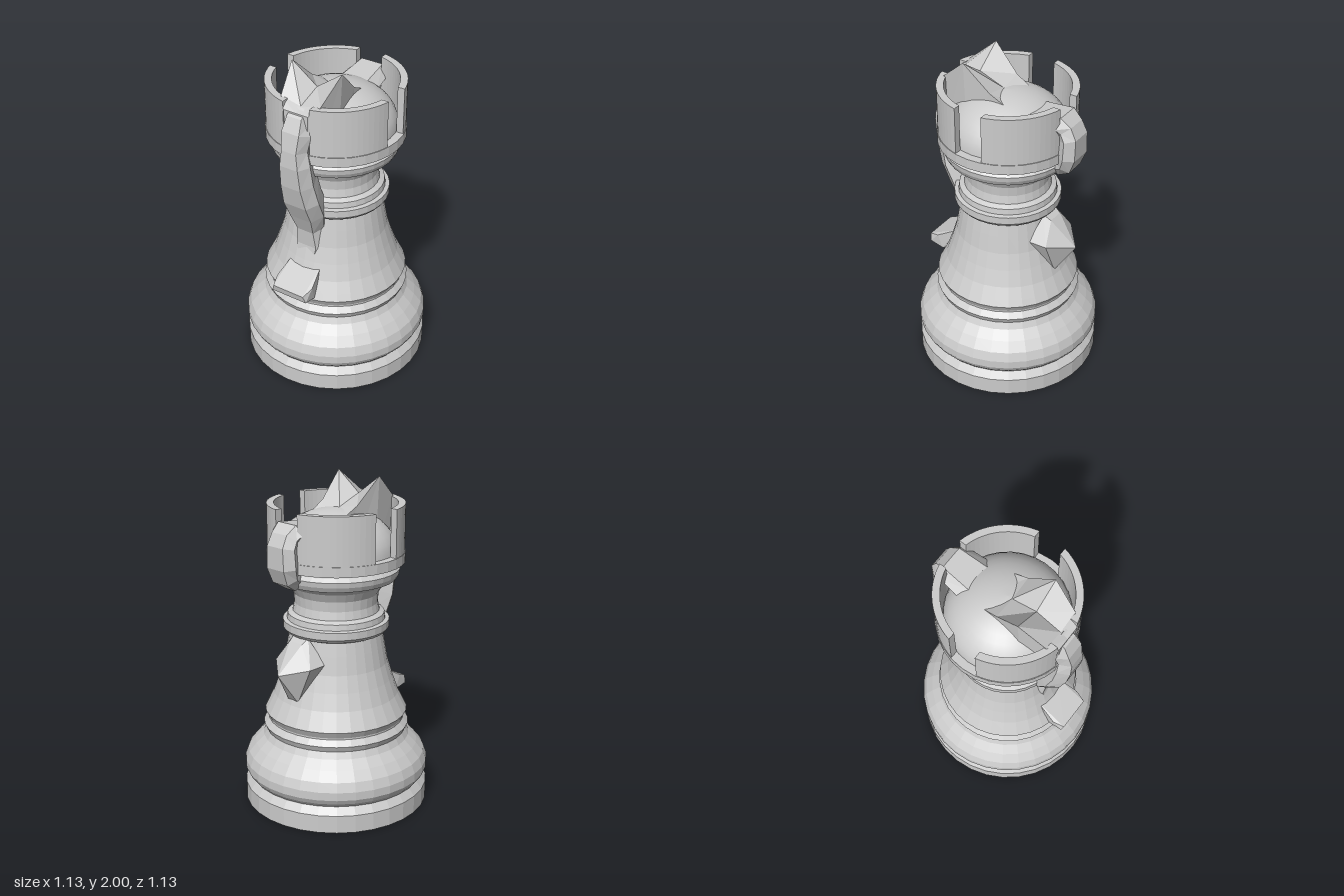
import * as THREE from 'three';
import { ConvexGeometry } from 'three/addons/geometries/ConvexGeometry.js';

const SIDES = 32;
const material = new THREE.MeshStandardMaterial({ color: 0xcccccc, flatShading: true });
const doubleSided = new THREE.MeshStandardMaterial({ color: 0xcccccc, flatShading: true, side: THREE.DoubleSide });
const smooth = new THREE.MeshStandardMaterial({ color: 0xcccccc });

function part(group, name, geometry, mat = material) {
  const mesh = new THREE.Mesh(geometry, mat);
  mesh.name = name;
  group.add(mesh);
  return mesh;
}

function lathe(points) {
  return new THREE.LatheGeometry(points.map(([r, y]) => new THREE.Vector2(r, y)), SIDES);
}

// Skin a row of closed cross-sections and cap both ends
function loft(rings) {
  const n = rings[0].length;
  const index = [];
  for (let i = 0; i < rings.length - 1; i++) {
    for (let j = 0; j < n; j++) {
      const a = i * n + j, b = i * n + (j + 1) % n;
      index.push(a, b, a + n, b, b + n, a + n);
    }
  }
  const last = (rings.length - 1) * n;
  for (let j = 1; j < n - 1; j++) {
    index.push(0, j + 1, j, last, last + j, last + j + 1);
  }
  // Turn the faces outward if the enclosed volume comes out negative
  const pts = rings.flat().map((p) => new THREE.Vector3(...p));
  const centre = pts.reduce((s, p) => s.add(p), new THREE.Vector3()).divideScalar(pts.length);
  pts.forEach((p) => p.sub(centre));
  let volume = 0;
  for (let k = 0; k < index.length; k += 3) {
    const [a, b, c] = [pts[index[k]], pts[index[k + 1]], pts[index[k + 2]]];
    volume += a.dot(b.clone().cross(c));
  }
  if (volume < 0) index.reverse();
  const geometry = new THREE.BufferGeometry();
  geometry.setAttribute('position', new THREE.Float32BufferAttribute(rings.flat(2), 3));
  geometry.setIndex(index);
  geometry.computeVertexNormals();
  return geometry;
}

// Six-sided limb: path entries are [outer z, outer y, half width];
// inward is the side (+1 or -1) on which the thickness lies
function limb(path, thickness, inward) {
  return loft(path.map(([z, y, w], i) => {
    const p = path[Math.max(i - 1, 0)], q = path[Math.min(i + 1, path.length - 1)];
    const len = Math.hypot(q[0] - p[0], q[1] - p[1]);
    const dz = inward * (q[1] - p[1]) / len * thickness;
    const dy = -inward * (q[0] - p[0]) / len * thickness;
    const at = (x, t) => [x, y + dy * t, z + dz * t];
    return [at(-w * 0.6, 0), at(w * 0.6, 0), at(w, 0.4), at(w * 0.6, 1), at(-w * 0.6, 1), at(-w, 0.4)];
  }));
}

// Convex solid from points mirrored across x = 0
function mirroredHull(points) {
  return new ConvexGeometry(points.flatMap(([x, y, z]) =>
    (x ? [1, -1] : [1]).map((s) => new THREE.Vector3(s * x, y, z))));
}

export function createModel() {
  const model = new THREE.Group();
  model.name = 'towerPiece';

  // Turned base, waist, collar and neck
  part(model, 'towerBody', lathe([
    [0, 0], [0.565, 0], [0.565, 0.11], [0.53, 0.155], [0.55, 0.18], [0.565, 0.21],
    [0.565, 0.26], [0.545, 0.315], [0.5, 0.37], [0.45, 0.42], [0.43, 0.46], [0.445, 0.495],
    [0.415, 0.53], [0.415, 0.54], [0.435, 0.58], [0.415, 0.62], [0.38, 0.69], [0.345, 0.79],
    [0.315, 0.89], [0.295, 1.0], [0.28, 1.08], [0.305, 1.09], [0.32, 1.11], [0.32, 1.155],
    [0.295, 1.16], [0.29, 1.195], [0.26, 1.21], [0.25, 1.26], [0.255, 1.32], [0.28, 1.37],
    [0.31, 1.395], [0.36, 1.41], [0.375, 1.44], [0.38, 1.47], [0.36, 1.49], [0.34, 1.5],
    [0.34, 1.52], [0, 1.52],
  ]));

  // Parapet: solid ring below, four wall pieces above
  part(model, 'parapetRing', lathe([
    [0.33, 1.51], [0.41, 1.51], [0.41, 1.57], [0.36, 1.57], [0.33, 1.57],
  ]));
  const gap = 0.214, innerGap = 0.238;
  const wall = new THREE.Shape();
  wall.absarc(0, 0, 0.405, gap, Math.PI / 2 - gap, false);
  wall.absarc(0, 0, 0.362, Math.PI / 2 - innerGap, innerGap, true);
  wall.closePath();
  const wallGeometry = new THREE.ExtrudeGeometry(wall, { depth: 0.285, bevelEnabled: false, curveSegments: 7 });
  wallGeometry.rotateX(-Math.PI / 2).translate(0, 1.57, 0);
  for (let i = 0; i < 4; i++) {
    part(model, 'battlement' + (i + 1), wallGeometry).rotation.y = i * Math.PI / 2;
  }

  // Rounded cap inside the parapet
  const dome = [];
  for (let i = 0; i <= 10; i++) {
    const a = i / 10 * Math.PI / 2;
    dome.push([0.362 * Math.cos(a), 1.56 + 0.26 * Math.sin(a)]);
  }
  part(model, 'dome', lathe(dome), smooth);

  // Eared crest: [z, half width, edge height, centre height]
  part(model, 'earedCrest', loft([
    [0.4, 0.08, 1.81, 1.81], [0.35, 0.13, 1.86, 1.83], [0.19, 0.165, 2.0, 1.88],
    [0.03, 0.14, 1.845, 1.82], [-0.09, 0.13, 1.78, 1.74],
  ].map(([z, w, edge, mid]) => [
    [-w * 0.85, 1.55, z], [-w, edge, z], [0, mid, z], [w, edge, z], [w * 0.85, 1.55, z],
  ])), doubleSided);

  // Limb hanging down the front, ending in a flared foot
  part(model, 'frontLimb', limb([
    [0.36, 1.83, 0.08], [0.415, 1.79, 0.08], [0.455, 1.71, 0.095], [0.475, 1.6, 0.08],
    [0.48, 1.5, 0.1], [0.465, 1.36, 0.11], [0.43, 1.22, 0.125], [0.375, 1.1, 0.12],
    [0.33, 0.99, 0.09], [0.32, 0.88, 0.11], [0.335, 0.76, 0.08],
  ], 0.17, 1), doubleSided);
  part(model, 'frontFoot', mirroredHull([
    [0.1, 0.77, 0.31], [0.125, 0.69, 0.45], [0.105, 0.665, 0.52], [0.12, 0.62, 0.51],
    [0.12, 0.6, 0.42], [0.1, 0.62, 0.36],
  ]));

  // Limb bending over the back gap
  part(model, 'backLimb', limb([
    [-0.1, 1.72, 0.14], [-0.2, 1.765, 0.14], [-0.39, 1.79, 0.12], [-0.45, 1.74, 0.1],
    [-0.485, 1.67, 0.105], [-0.485, 1.54, 0.115], [-0.45, 1.45, 0.1], [-0.37, 1.4, 0.07],
  ], 0.13, -1), doubleSided);

  // Pointed spur on the back of the waist
  part(model, 'backSpur', mirroredHull([
    [0.06, 1.1, -0.29], [0.05, 1.07, -0.335], [0.16, 0.95, -0.25], [0.145, 0.94, -0.36],
    [0, 0.9, -0.48], [0.04, 0.71, -0.36], [0.06, 0.75, -0.25],
  ]));

  return model;
}
